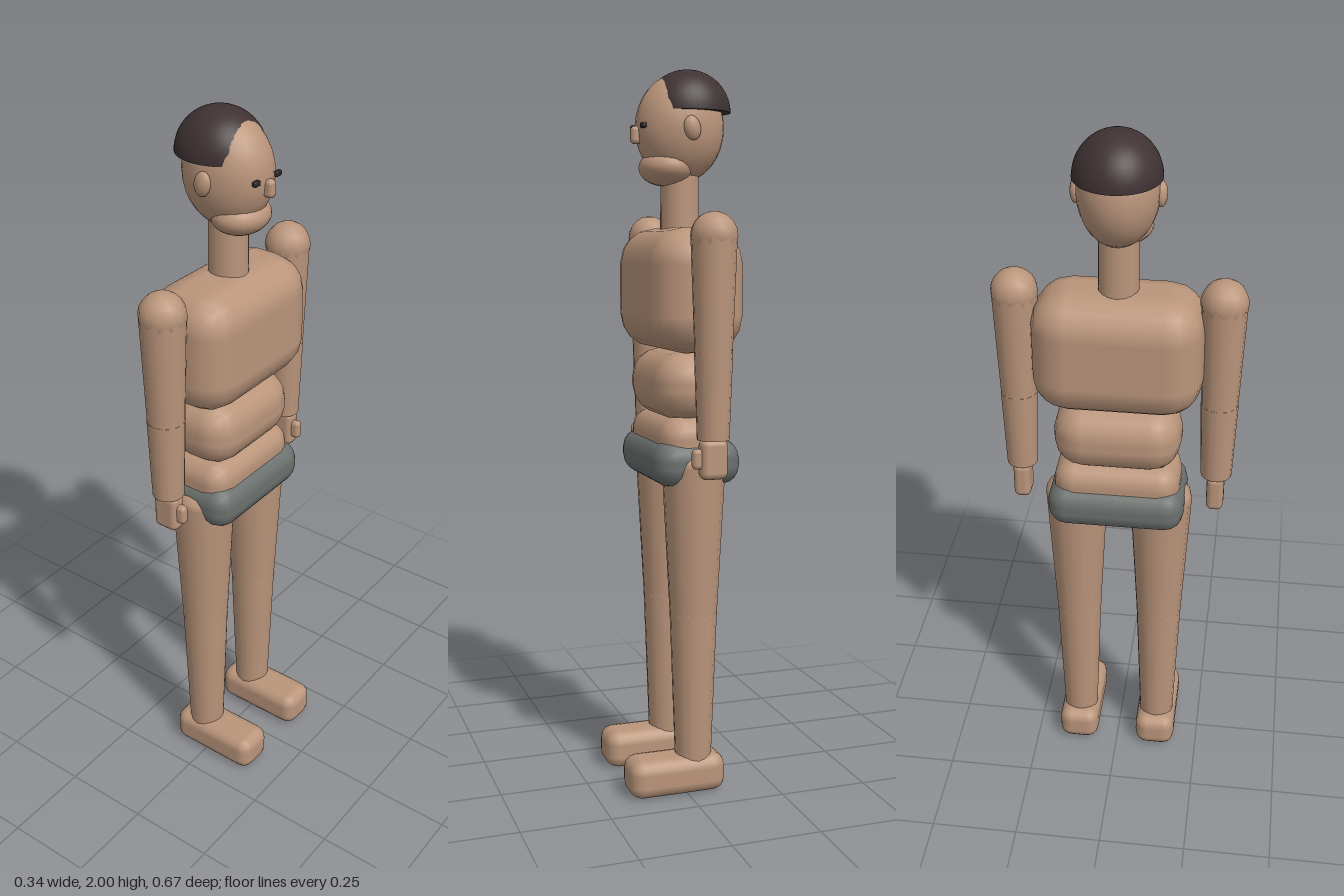
import * as THREE from 'three';
import { RoundedBoxGeometry } from 'three/addons/geometries/RoundedBoxGeometry.js';

const mat = (name, color) => {
  const m = new THREE.MeshStandardMaterial({ color });
  m.name = name;
  return m;
};

export function createModel() {
  const skin = mat('skin', 0xba957b);
  const hairMat = mat('hair', 0x3f3233);
  const cloth = mat('cloth', 0x6b716e);
  const eyeMat = mat('eye', 0x2a2326);
  const root = new THREE.Group();
  root.name = 'standingFigure';
  const CX = -0.028; // body axis; the figure looks along +x

  const add = (name, geo, material, x, y, z, parent = root) => {
    const m = new THREE.Mesh(geo, material);
    m.name = name;
    m.position.set(x, y, z);
    parent.add(m);
    return m;
  };
  const ball = (rx, ry, rz, w = 24, h = 16) => new THREE.SphereGeometry(1, w, h).scale(rx, ry, rz);
  const block = (x, y, z, r, s = 2) => new RoundedBoxGeometry(x, y, z, s, r);
  // tapered limb between two heights
  const limb = (name, rTop, rBottom, top, bottom, z, parent) =>
    add(name, new THREE.CylinderGeometry(rTop, rBottom, top - bottom, 16), skin, CX, (top + bottom) / 2, z, parent);

  // trunk
  add('chest', block(0.262, 0.338, 0.455, 0.1), skin, CX, 1.406, 0);
  add('belly', block(0.216, 0.19, 0.35, 0.085), skin, CX, 1.145, 0);
  add('hips', block(0.2, 0.16, 0.35, 0.06), skin, CX, 0.985, 0);
  add('briefs', block(0.248, 0.128, 0.38, 0.055), cloth, CX, 0.938, 0);
  add('neck', new THREE.CylinderGeometry(0.052, 0.054, 0.18, 16), skin, CX, 1.625, 0);

  // head
  const head = new THREE.Group();
  head.name = 'head';
  root.add(head);
  add('skull', ball(0.124, 0.146, 0.105), skin, CX, 1.843, 0, head);
  add('jaw', ball(0.075, 0.05, 0.085), skin, 0.011, 1.736, 0, head);
  add('nose', block(0.032, 0.048, 0.026, 0.012), skin, 0.097, 1.822, 0, head);

  // hair dome, cut flat along the forehead
  const dome = new THREE.SphereGeometry(1, 40, 14, 0, Math.PI * 2, 0, Math.PI / 2).scale(0.12, 0.115, 0.112);
  const p = dome.attributes.position;
  for (let i = 0; i < p.count; i++) {
    const x = p.getX(i);
    if (x > 0.08) p.setX(i, 0.08);
  }
  add('hair', dome, hairMat, -0.05, 1.885, 0, head);
  const base = [];
  for (let i = 0; i < 40; i++) {
    const a = (i / 40) * Math.PI * 2;
    base.push(new THREE.Vector2(Math.min(0.08, 0.12 * Math.cos(a)), 0.112 * Math.sin(a)));
  }
  add('hairUnderside', new THREE.ShapeGeometry(new THREE.Shape(base)).rotateX(Math.PI / 2), hairMat, -0.05, 1.885, 0, head);

  for (const s of [1, -1]) {
    const side = s > 0 ? 'right' : 'left';
    // face details
    add(side + 'Eye', block(0.014, 0.015, 0.023, 0.005), eyeMat, 0.09, 1.845, s * 0.045, head);
    const ear = add(side + 'Ear', ball(0.024, 0.033, 0.016, 12, 10), skin, CX, 1.836, s * 0.105, head);
    ear.rotation.z = -0.2;

    // arm
    const arm = new THREE.Group();
    arm.name = side + 'Arm';
    root.add(arm);
    const az = s * 0.272;
    add('shoulder', ball(0.063, 0.063, 0.063, 12, 10), skin, CX, 1.55, az, arm);
    limb('upperArm', 0.061, 0.05, 1.55, 1.25, az, arm);
    add('elbow', ball(0.051, 0.051, 0.051, 12, 8), skin, CX, 1.25, az, arm);
    limb('forearm', 0.051, 0.043, 1.25, 1.02, az, arm);
    add('palm', block(0.075, 0.108, 0.048, 0.018), skin, CX, 0.968, az, arm);
    add('thumb', block(0.034, 0.055, 0.026, 0.012), skin, 0.014, 0.97, az, arm);

    // leg
    const leg = new THREE.Group();
    leg.name = side + 'Leg';
    root.add(leg);
    const lz = s * 0.12;
    add('hipJoint', ball(0.088, 0.05, 0.088, 16, 10), skin, CX, 0.93, lz, leg);
    limb('thigh', 0.088, 0.066, 0.93, 0.51, lz, leg);
    add('knee', ball(0.067, 0.067, 0.067, 12, 8), skin, CX, 0.51, lz, leg);
    limb('shin', 0.066, 0.051, 0.51, 0.09, lz, leg);
    add('foot', block(0.278, 0.108, 0.12, 0.036), skin, 0.028, 0.054, lz, leg);
  }
  return root;
}
